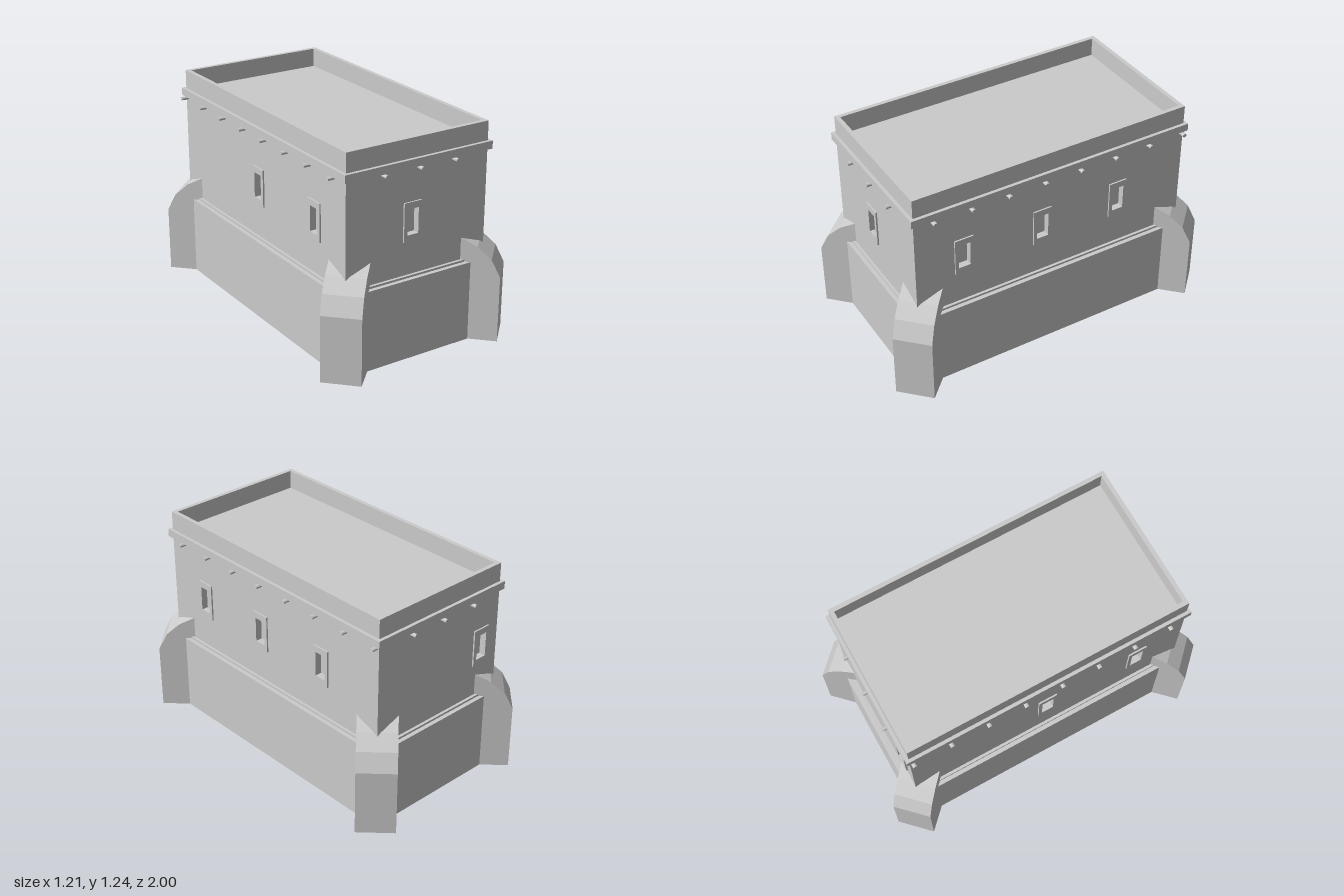
import * as THREE from 'three';

const HX = 0.45, HZ = 0.845;          // half size of the upper storey
const WALL_Y0 = 0.475, WALL_Y1 = 1.08;
const mat = new THREE.MeshStandardMaterial({ color: 0xcccccc, flatShading: true, side: THREE.DoubleSide });

function mesh(name, geometry, parent) {
  const m = new THREE.Mesh(geometry, mat);
  m.name = name;
  parent.add(m);
  return m;
}

// Flat-faced geometry from a list of four-cornered faces
function quads(list) {
  const pos = [];
  for (const [a, b, c, d] of list) pos.push(...a, ...b, ...c, ...a, ...c, ...d);
  const g = new THREE.BufferGeometry();
  g.setAttribute('position', new THREE.Float32BufferAttribute(pos, 3));
  g.computeVertexNormals();
  return g;
}

// Rectangular loops [halfX, halfZ, y] joined one to the next
function rectLoft(profile) {
  const signs = [[1, 1], [1, -1], [-1, -1], [-1, 1]];
  const list = [];
  for (let i = 0; i < profile.length - 1; i++) {
    for (let j = 0; j < 4; j++) {
      const p = (k, s) => [profile[k][0] * s[0], profile[k][2], profile[k][1] * s[1]];
      const s = signs[j], t = signs[(j + 1) % 4];
      list.push([p(i, s), p(i, t), p(i + 1, t), p(i + 1, s)]);
    }
  }
  return quads(list);
}

// Loops given as [offset from the upper wall, y]
const storey = (points) => points.map(([o, y]) => [HX + o, HZ + o, y]);

function rect(Type, x0, x1, y0, y1) {
  return new Type([[x0, y0], [x1, y0], [x1, y1], [x0, y1]].map(([x, y]) => new THREE.Vector2(x, y)));
}

// Raised frame around a recessed opening
function createWindow() {
  const g = new THREE.Group();
  g.name = 'window';
  const frame = rect(THREE.Shape, -0.056, 0.056, -0.11, 0.11);
  frame.holes.push(rect(THREE.Path, -0.035, 0.035, -0.073, 0.073));
  mesh('windowFrame', new THREE.ExtrudeGeometry(frame, { depth: 0.009, bevelEnabled: false }), g);
  const recess = rectLoft([[0.035, 0.073, 0], [0.035, 0.073, -0.03], [0, 0, -0.03]]);
  mesh('windowRecess', recess.rotateX(Math.PI / 2), g);
  return g;
}

// One upper wall with its windows and rainwater spouts, facing +z before turning
function createWall(name, half, dist, angle, windows, spouts, rx, ry) {
  const g = new THREE.Group();
  g.name = name;
  const shape = rect(THREE.Shape, -half, half, WALL_Y0, WALL_Y1);
  for (const u of windows) {
    shape.holes.push(rect(THREE.Path, u - 0.035, u + 0.035, 0.704, 0.85));
    const w = createWindow();
    w.position.set(u, 0.777, 0);
    g.add(w);
  }
  mesh('upperWall', new THREE.ShapeGeometry(shape), g);
  for (const u of spouts) {
    const geo = new THREE.CylinderGeometry(1, 1, 0.041, 10).rotateX(Math.PI / 2).scale(rx, ry, 1);
    mesh('spout', geo, g).position.set(u, 1.069, 0.0205);
  }
  g.rotation.y = angle;
  g.position.set(Math.sin(angle) * dist, 0, Math.cos(angle) * dist);
  return g;
}

// Diagonal corner buttress, open at the back and below
function buttressGeometry() {
  const profile = [[0, 0.385], [0.035, 0.485], [0.09, 0.555], [0.16, 0.605]];
  const A = (t, y) => [0.45 - t, y, 1 - t];
  const B = (t, y) => [0.605 - t, y, 0.845 - t];
  const list = [[A(0, 0), B(0, 0), B(0, 0.385), A(0, 0.385)]];
  for (let i = 0; i < profile.length - 1; i++) {
    const [t, y] = profile[i], [u, v] = profile[i + 1];
    list.push(
      [A(t, y), B(t, y), B(u, v), A(u, v)],
      [A(u, 0), A(t, 0), A(t, y), A(u, v)],
      [B(t, 0), B(u, 0), B(u, v), B(t, y)]
    );
  }
  return quads(list);
}

export function createModel() {
  const model = new THREE.Group();
  model.name = 'fortifiedHouse';

  // Thicker lower walls with a stepped ledge
  mesh('lowerWalls', rectLoft(storey([[0.04, 0], [0.04, 0.463], [0.016, 0.463], [0.016, WALL_Y0], [0, WALL_Y0]])), model);

  // Upper walls
  const endSpouts = [-0.225, 0, 0.225];
  const sideSpouts = Array.from({ length: 8 }, (_, i) => 0.735 - 0.2235 * i);
  const P = Math.PI;
  model.add(
    createWall('frontWall', HX, HZ, 0, [-0.035], endSpouts, 0.011, 0.011),
    createWall('backWall', HX, HZ, P, [0.32], endSpouts, 0.011, 0.011),
    createWall('leftWall', HZ, HX, P / 2, [-0.557, -0.073, 0.417], sideSpouts.map((z) => -z), 0.013, 0.01),
    createWall('rightWall', HZ, HX, -P / 2, [-0.01, 0.56], sideSpouts, 0.013, 0.01)
  );

  // Cornice, parapet and sunken flat roof
  mesh('cornice', rectLoft(storey([[0, WALL_Y1], [0.019, WALL_Y1], [0.019, 1.125], [0, 1.125]])), model);
  mesh('parapet', rectLoft(storey([[0, 1.125], [0, 1.235], [-0.025, 1.235], [-0.025, 1.125]])), model);
  mesh('roof', rectLoft([[HX - 0.025, HZ - 0.025, 1.125], [0, 0, 1.125]]), model);

  // Four mirrored corner buttresses
  const buttress = buttressGeometry();
  for (const sx of [1, -1]) for (const sz of [1, -1]) mesh('cornerButtress', buttress, model).scale.set(sx, 1, sz);

  return model;
}
